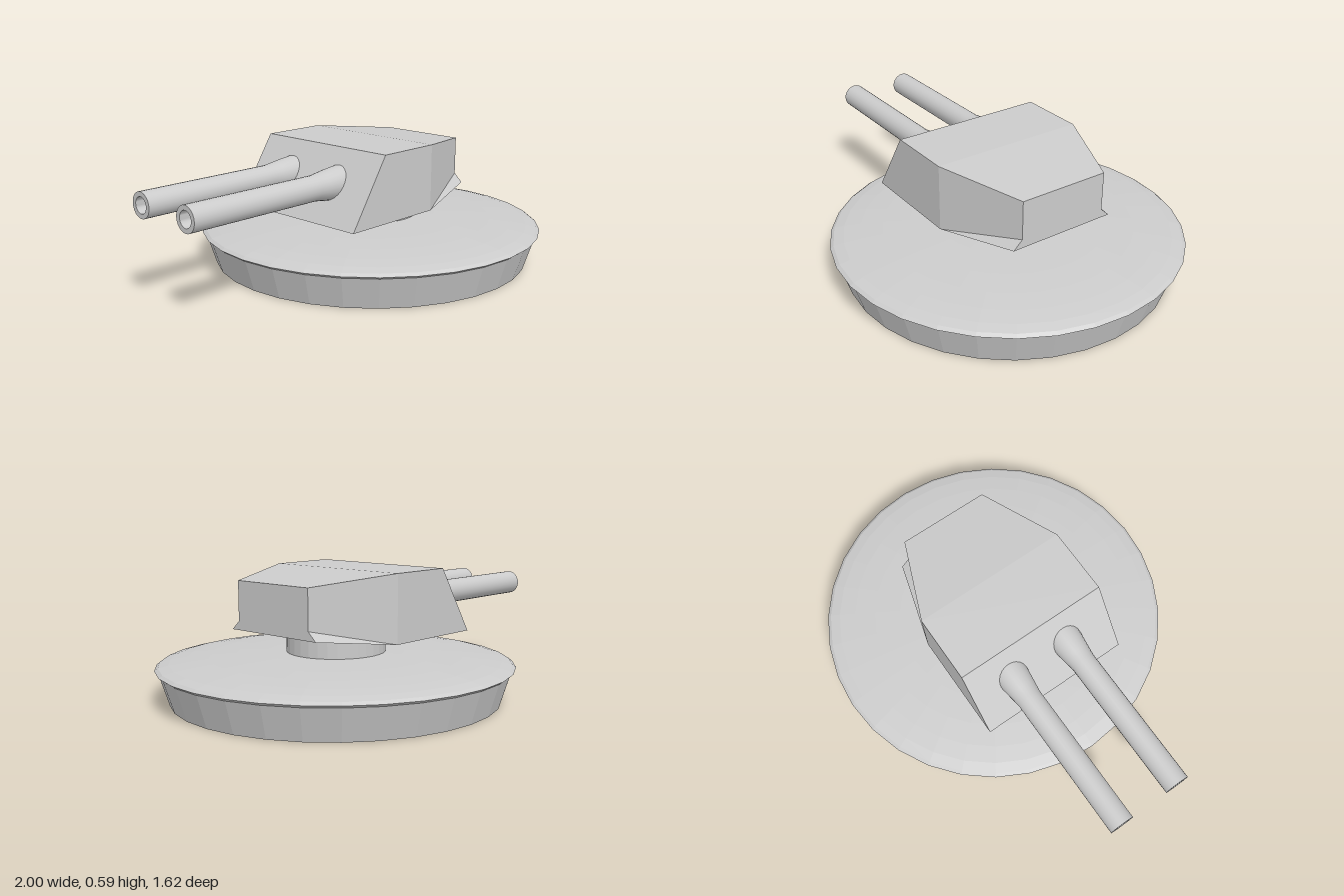
import * as THREE from 'three';
import { toCreasedNormals } from 'three/addons/utils/BufferGeometryUtils.js';

const CENTRE_X = 0.19;
const smooth = new THREE.MeshStandardMaterial({ color: 0xcccccc, side: THREE.DoubleSide });
const flat = new THREE.MeshStandardMaterial({ color: 0xcccccc, side: THREE.DoubleSide, flatShading: true });

function part(parent, name, geometry, material, x = 0, y = 0, z = 0) {
  const mesh = new THREE.Mesh(geometry, material);
  mesh.name = name;
  mesh.position.set(x, y, z);
  parent.add(mesh);
}

// Cross-section of the housing: bottom, lower side and top corners, mirrored across z
function section(bottom, low, top) {
  const half = [bottom, low, top];
  const mirrored = half.map(([x, y, z]) => [x, y, -z]).reverse();
  return [...half, ...mirrored];
}

function housingGeometry() {
  const sections = [
    section([-0.32, 0.282, 0.366], [-0.32, 0.282, 0.366], [-0.121, 0.588, 0.366]),
    section([0.195, 0.282, 0.366], [0.195, 0.282, 0.366], [0.195, 0.588, 0.366]),
    section([0.579, 0.33, 0.257], [0.579, 0.37, 0.214], [0.579, 0.548, 0.214]),
  ];
  const positions = [];
  const quad = (a, b, c, d) => positions.push(...a, ...b, ...c, ...a, ...c, ...d);
  for (let s = 0; s < sections.length - 1; s++) {
    const p = sections[s], q = sections[s + 1];
    for (let k = 0; k < 6; k++) {
      const n = (k + 1) % 6;
      quad(p[k], q[k], q[n], p[n]);
    }
  }
  // Sloping gun face and rear face
  const f = sections[0], r = sections[2];
  quad(f[1], f[2], f[3], f[4]);
  quad(r[4], r[3], r[2], r[1]);
  quad(r[5], r[4], r[1], r[0]);
  const geometry = new THREE.BufferGeometry();
  geometry.setAttribute('position', new THREE.Float32BufferAttribute(positions, 3));
  geometry.computeVertexNormals();
  return geometry;
}

export function createModel() {
  const model = new THREE.Group();
  model.name = 'gunTurret';

  // Flared base ring, open underneath
  part(model, 'baseWall', new THREE.CylinderGeometry(0.797, 0.748, 0.157, 32, 1, true), flat, CENTRE_X, 0.0785);

  // Lens-shaped deck resting in the ring, its edge forming the lip
  const deck = new THREE.SphereGeometry(0.81, 32, 16);
  deck.scale(1, 0.06 / 0.81, 1);
  part(model, 'baseDeck', deck, flat, CENTRE_X, 0.157);

  // Neck between deck and housing
  part(model, 'neck', new THREE.CylinderGeometry(0.225, 0.225, 0.115, 32, 1), flat, CENTRE_X, 0.2625);

  // Faceted housing
  part(model, 'housing', housingGeometry(), flat);

  // Twin barrels: flared root, straight tube, hollow muzzle
  const profile = [
    [0.079, 0.1], [0.077, 0.17], [0.071, 0.23], [0.064, 0.28], [0.057, 0.33],
    [0.057, 1], [0.036, 1], [0.036, 0.8], [0, 0.8],
  ].map(([r, y]) => new THREE.Vector2(r, y));
  const barrel = toCreasedNormals(new THREE.LatheGeometry(profile, 24), 0.6);
  barrel.rotateZ(Math.PI / 2);
  part(model, 'rightBarrel', barrel, smooth, 0, 0.441, -0.157);
  part(model, 'leftBarrel', barrel, smooth, 0, 0.441, 0.137);

  return model;
}
